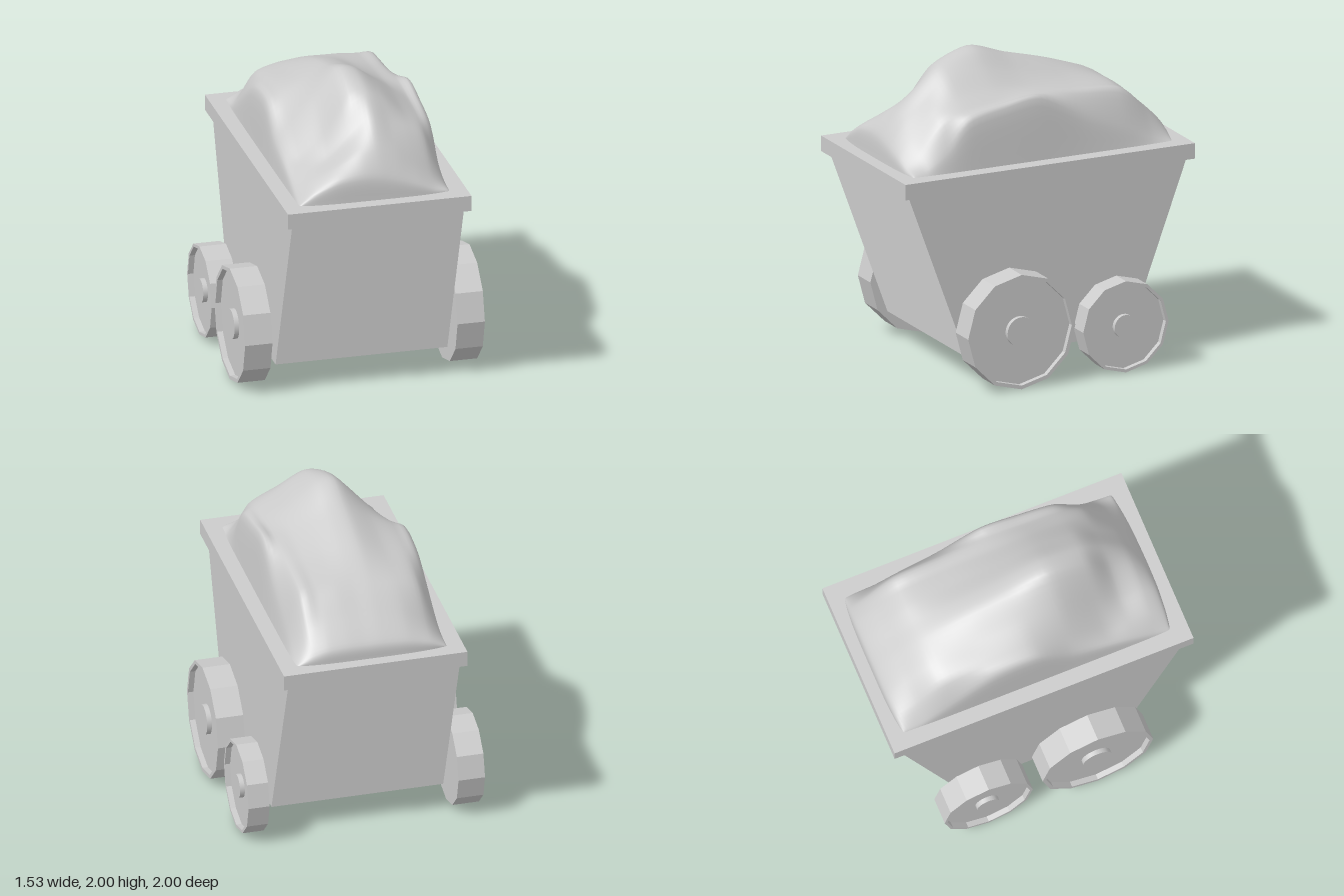
import * as THREE from 'three';

const grey = (opts = {}) => new THREE.MeshStandardMaterial({ color: 0xcccccc, ...opts });

function add(parent, name, geometry, material) {
  const mesh = new THREE.Mesh(geometry, material);
  mesh.name = name;
  parent.add(mesh);
  return mesh;
}

// Tub: a box whose ends taper towards the floor
function tubGeometry() {
  const g = new THREE.BoxGeometry(1.1, 1.085, 1.92);
  const p = g.attributes.position;
  for (let i = 0; i < p.count; i++) if (p.getY(i) < 0) p.setZ(i, Math.sign(p.getZ(i)) * 0.56);
  g.translate(0, 0.7275, 0);
  return g;
}

// Wheel: twelve-sided disc with a raised outer lip and a round hub, axis along x
function makeWheel(name, side, x0, x1, y, z, r, hubR) {
  const wheel = new THREE.Group();
  wheel.name = name;
  const w = x1 - x0, face = w - 0.035, lip = r * 0.935;
  const profile = [[0, 0], [r, 0], [r, w], [lip, w], [lip, face], [0, face]].map(([a, b]) => new THREE.Vector2(a, b));
  add(wheel, 'disc', new THREE.LatheGeometry(profile, 12), grey({ flatShading: true }));
  add(wheel, 'hub', new THREE.CylinderGeometry(hubR, hubR, 0.05, 28), grey()).position.y = face + 0.005;
  wheel.rotation.z = -side * Math.PI / 2;
  wheel.position.set(side * x0, y, z);
  return wheel;
}

// Heap: smooth curves through height rows, first across x, then along z
function heapGeometry() {
  const base = 1.36;
  const xs = [-0.47, -0.38, -0.24, -0.08, 0.04, 0.16, 0.28, 0.38, 0.46];
  const rows = [
    [-0.91, 1.38, 1.42, 1.45, 1.46, 1.46, 1.46, 1.45, 1.42, 1.38],
    [-0.78, 1.40, 1.50, 1.57, 1.59, 1.59, 1.59, 1.58, 1.55, 1.42],
    [-0.60, 1.50, 1.66, 1.71, 1.73, 1.73, 1.73, 1.72, 1.71, 1.50],
    [-0.30, 1.67, 1.74, 1.78, 1.84, 1.83, 1.79, 1.76, 1.74, 1.60],
    [0.00, 1.70, 1.76, 1.83, 1.92, 1.91, 1.85, 1.79, 1.77, 1.75],
    [0.25, 1.55, 1.66, 1.82, 1.99, 1.985, 1.90, 1.81, 1.75, 1.72],
    [0.50, 1.48, 1.53, 1.66, 1.89, 1.93, 1.87, 1.78, 1.72, 1.66],
    [0.65, 1.44, 1.50, 1.57, 1.72, 1.81, 1.76, 1.71, 1.65, 1.50],
    [0.80, 1.40, 1.48, 1.56, 1.64, 1.66, 1.62, 1.55, 1.48, 1.40],
    [0.90, 1.38, 1.44, 1.50, 1.52, 1.51, 1.48, 1.44, 1.40, 1.38],
  ];
  const NX = 48, NZ = 64;
  const section = (z, heights) => {
    const zAt = (x) => z * (1 - 0.03 * (Math.abs(x) / 0.49) ** 4);
    const pts = xs.map((x, i) => new THREE.Vector3(x, heights[i], zAt(x)));
    pts.unshift(new THREE.Vector3(-0.49, base, zAt(0.49)));
    pts.push(new THREE.Vector3(0.49, base, zAt(0.49)));
    return new THREE.CatmullRomCurve3(pts, false, 'catmullrom', 0.4).getPoints(NX);
  };
  const flat = xs.map(() => base);
  const sections = [section(-0.925, flat), ...rows.map(([z, ...h]) => section(z, h)), section(0.915, flat)];
  const pos = [], index = [];
  for (let i = 0; i <= NX; i++) {
    const along = new THREE.CatmullRomCurve3(sections.map((s) => s[i]), false, 'catmullrom', 0.4);
    for (const p of along.getPoints(NZ)) pos.push(p.x, p.y, p.z);
  }
  for (let i = 0; i < NX; i++) {
    for (let j = 0; j < NZ; j++) {
      const a = i * (NZ + 1) + j, b = a + NZ + 1;
      index.push(a, a + 1, b, b, a + 1, b + 1);
    }
  }
  const g = new THREE.BufferGeometry();
  g.setAttribute('position', new THREE.Float32BufferAttribute(pos, 3));
  g.setIndex(index);
  g.computeVertexNormals();
  return g;
}

export function createModel() {
  const cart = new THREE.Group();
  cart.name = 'mineCart';

  add(cart, 'tub', tubGeometry(), grey());
  add(cart, 'rim', new THREE.BoxGeometry(1.175, 0.1, 2), grey()).position.y = 1.32;
  add(cart, 'heap', heapGeometry(), grey({ side: THREE.DoubleSide }));

  // Larger wheels in front, smaller ones behind
  cart.add(makeWheel('frontWheelLeft', 1, 0.59, 0.765, 0.37, 0.285, 0.37, 0.095));
  cart.add(makeWheel('frontWheelRight', -1, 0.595, 0.77, 0.37, 0.285, 0.37, 0.095));
  cart.add(makeWheel('backWheelLeft', 1, 0.61, 0.745, 0.3, -0.445, 0.295, 0.075));
  cart.add(makeWheel('backWheelRight', -1, 0.6, 0.77, 0.3, -0.445, 0.295, 0.075));
  return cart;
}
